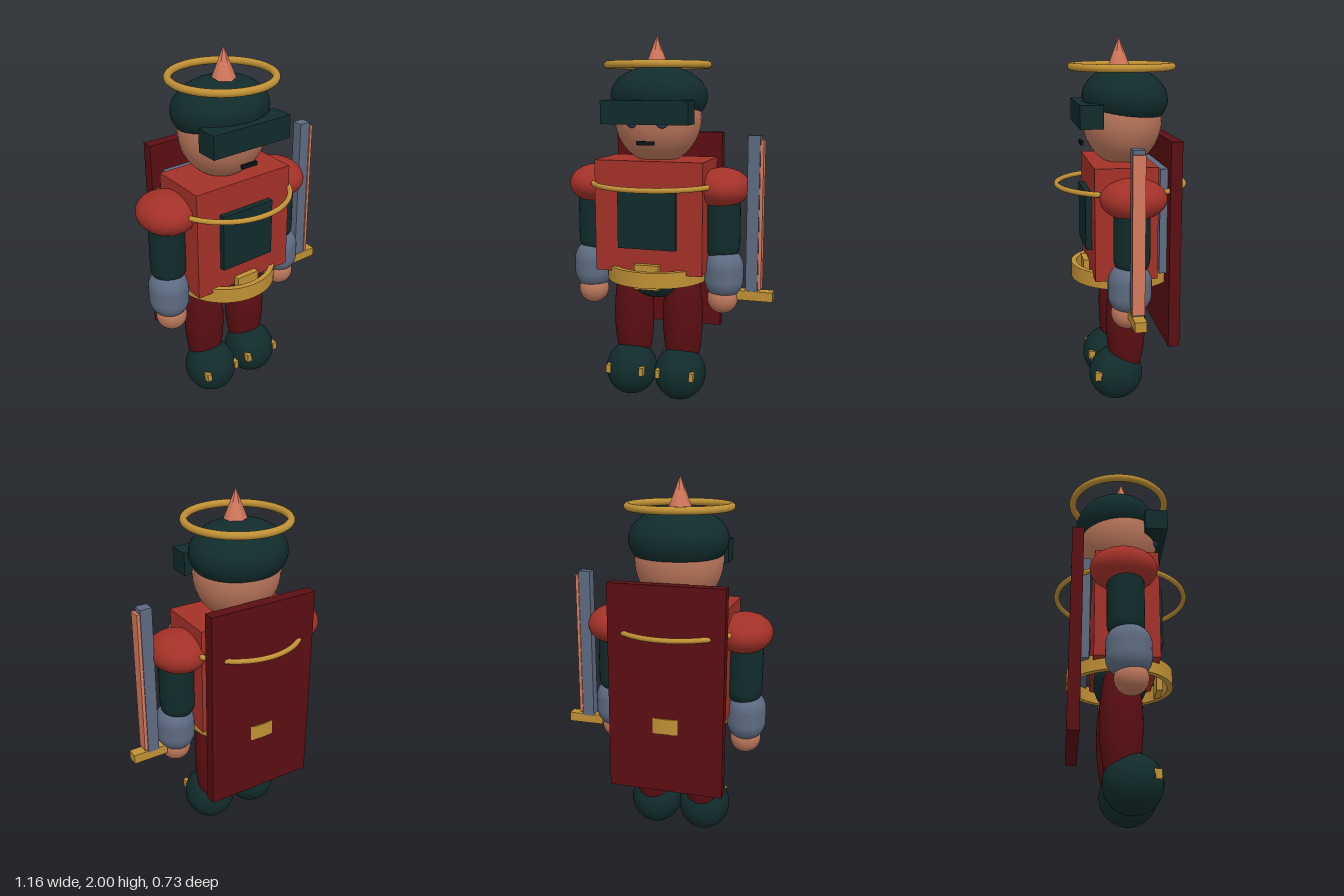
import * as THREE from 'three';

const mat = (name, color, side = THREE.FrontSide) => {
  const m = new THREE.MeshStandardMaterial({ color, side });
  m.name = name;
  return m;
};

export function createModel() {
  const red = mat('red', 0xa33128);
  const maroon = mat('maroon', 0x5a0e12);
  const teal = mat('darkTeal', 0x112b2b, THREE.DoubleSide);
  const skin = mat('skin', 0xb8755a);
  const gold = mat('gold', 0xbf9035);
  const slate = mat('slate', 0x5d6a80);
  const copper = mat('copper', 0xd4785c);
  const black = mat('black', 0x0c1418);
  const eyeBlue = mat('eyeBlue', 0x2c4258);

  const model = new THREE.Group();
  model.name = 'toyGuard';
  // the figure stands off centre, because of the sword at its left
  const figure = new THREE.Group();
  figure.name = 'figure';
  figure.position.x = -0.07;
  model.add(figure);

  const add = (name, geometry, material, x, y, z) => {
    const mesh = new THREE.Mesh(geometry, material);
    mesh.name = name;
    mesh.position.set(x, y, z);
    figure.add(mesh);
    return mesh;
  };
  const box = (name, material, w, h, d, x, y, z) =>
    add(name, new THREE.BoxGeometry(w, h, d), material, x, y, z);
  const ball = (name, material, rx, ry, rz, x, y, z) =>
    add(name, new THREE.SphereGeometry(1, 40, 28).scale(rx, ry, rz), material, x, y, z);
  const ring = (name, radius, tube, y, z) =>
    add(name, new THREE.TorusGeometry(radius, tube, 14, 72).rotateX(Math.PI / 2), gold, 0, y, z);

  // head and face
  ball('head', skin, 0.237, 0.25, 0.215, 0, 1.57, -0.01);
  box('mouth', black, 0.095, 0.02, 0.017, 0, 1.446, 0.213);

  // helmet: a squashed cap with its front tipped up
  const cap = new THREE.SphereGeometry(1, 48, 24, 0, Math.PI * 2, 0, Math.PI * 0.66);
  const helmet = add('helmet', cap.scale(0.265, 0.165, 0.23), teal, 0, 1.68, -0.025);
  helmet.rotation.x = -0.08;
  box('visor', teal, 0.47, 0.122, 0.123, 0, 1.603, 0.182);
  add('helmetSpike', new THREE.ConeGeometry(0.07, 0.18, 6), copper, 0, 1.91, 0.006);
  ring('halo', 0.268, 0.02, 1.845, -0.009);

  // torso and armour
  box('torso', red, 0.593, 0.6, 0.333, 0, 1.05, 0.014);
  box('chestPlate', teal, 0.317, 0.315, 0.035, 0, 1.043, 0.195);
  ring('chestRing', 0.35, 0.014, 1.22, 0);
  box('backPlate', slate, 0.483, 0.57, 0.045, 0, 1.045, -0.195);
  box('cape', maroon, 0.62, 1.12, 0.062, 0, 0.92, -0.244);

  // belt band, buckle and pelvis
  const band = [[0.25, 0.69], [0.28, 0.69], [0.28, 0.69], [0.28, 0.775], [0.28, 0.775],
    [0.25, 0.775], [0.25, 0.775], [0.25, 0.69]].map(([r, y]) => new THREE.Vector2(r, y));
  add('belt', new THREE.LatheGeometry(band, 64), gold, 0, 0, -0.004);
  box('buckle', gold, 0.135, 0.135, 0.032, 0, 0.733, 0.2);
  ball('pelvis', teal, 0.2, 0.15, 0.14, 0, 0.72, 0);

  // paired parts
  for (const [side, s] of [['left', 1], ['right', -1]]) {
    ball(side + 'Eye', eyeBlue, 0.032, 0.028, 0.025, s * 0.08, 1.549, 0.183);
    ball(side + 'Shoulder', red, 0.15, 0.106, 0.173, s * 0.358, 1.203, -0.009);
    add(side + 'UpperArm', new THREE.CapsuleGeometry(0.095, 0.22, 10, 32), teal, s * 0.366, 1.0, 0);
    add(side + 'Bracer', new THREE.CapsuleGeometry(0.105, 0.07, 12, 32).scale(1, 1, 1.09),
      slate, s * 0.379, 0.738, 0.013);
    ball(side + 'Hand', skin, 0.083, 0.083, 0.085, s * 0.375, 0.6, 0.025);
    ball(side + 'Leg', maroon, 0.112, 0.38, 0.11, s * 0.143, 0.46, -0.006);
    ball(side + 'Foot', teal, 0.143, 0.15, 0.15, s * 0.143, 0.155, 0.05);
    for (const t of [-1, 1])
      box(side + 'FootStud', gold, 0.025, 0.048, 0.038, s * 0.143 + t * 0.095, 0.18, 0.16);
  }

  // sword beside the left hand
  box('swordBlade', slate, 0.064, 0.84, 0.06, 0.533, 1.064, 0.003);
  box('swordEdge', copper, 0.017, 0.8, 0.064, 0.576, 1.062, 0.005);
  box('swordGuard', gold, 0.198, 0.052, 0.06, 0.549, 0.625, 0.005);

  return model;
}
